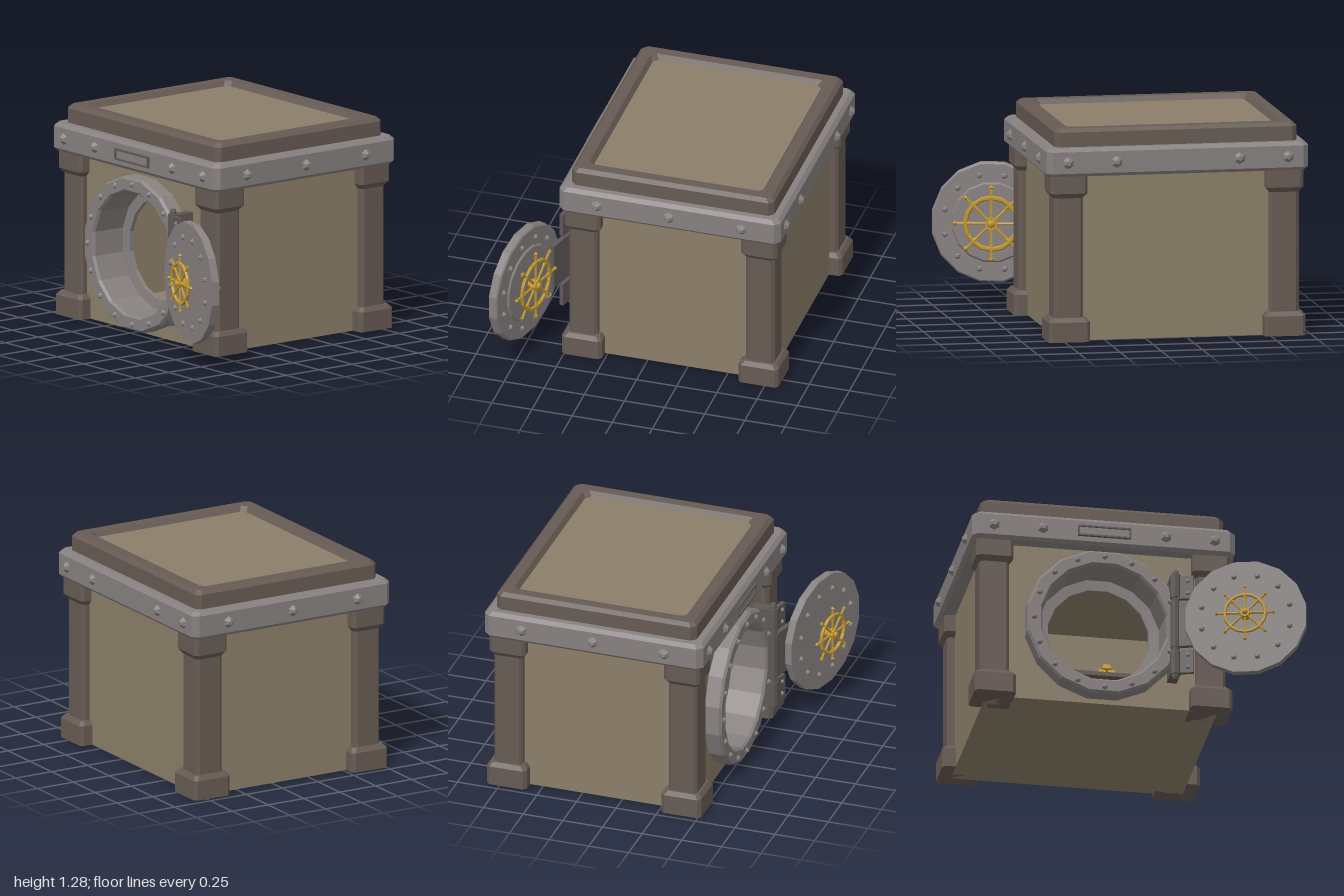
import * as THREE from 'three';

const mat = (name, color) => {
  const m = new THREE.MeshStandardMaterial({ color });
  m.name = name;
  return m;
};

export function createModel() {
  const stone = mat('tan stone', 0x8b7f69);
  const brown = mat('brown trim', 0x675b54);
  const steel = mat('grey steel', 0x878180);
  const iron = mat('dark iron', 0x5f5957);
  const gold = mat('gold', 0xc0962f);
  const CX = -0.182, CZ = -0.158, CY = 0.495;

  const model = new THREE.Group();
  model.name = 'vault';

  // Faceted mesh helper
  const add = (parent, name, geo, material, x = 0, y = 0, z = 0) => {
    const g = geo.index ? geo.toNonIndexed() : geo;
    g.computeVertexNormals();
    const m = new THREE.Mesh(g, material);
    m.name = name;
    m.position.set(x, y, z);
    parent.add(m);
    return m;
  };
  const group = (parent, name, x = 0, y = 0, z = 0) => {
    const g = new THREE.Group();
    g.name = name;
    g.position.set(x, y, z);
    parent.add(g);
    return g;
  };
  const box = (w, h, d) => new THREE.BoxGeometry(w, h, d);

  // Stack of corner-cut rectangles: [y, half width, half depth, corner cut]
  const loft = (sections, capTop = true) => {
    const pos = [], idx = [], n = sections.length;
    for (const [y, a, b, c] of sections) {
      const ring = [[a, b - c], [a, c - b], [a - c, -b], [c - a, -b], [-a, c - b], [-a, b - c], [c - a, b], [a - c, b]];
      for (const [x, z] of ring) pos.push(x, y, z);
    }
    for (let s = 0; s < n - 1; s++) for (let i = 0; i < 8; i++) {
      const p = s * 8 + i, q = s * 8 + (i + 1) % 8;
      idx.push(p, q, q + 8, p, q + 8, p + 8);
    }
    for (let i = 1; i < 7; i++) {
      idx.push(0, i + 1, i);
      const t = (n - 1) * 8;
      if (capTop) idx.push(t, t + i, t + i + 1);
    }
    const g = new THREE.BufferGeometry();
    g.setAttribute('position', new THREE.Float32BufferAttribute(pos, 3));
    g.setIndex(idx);
    return g;
  };

  // Sixteen-sided turning around the z axis, profile as [radius, z]
  const turn = (profile) => new THREE.LatheGeometry(
    profile.map(([r, z]) => new THREE.Vector2(r, z)), 16, Math.PI / 16).rotateX(Math.PI / 2);

  // Rivet pointing along +z, base at z = 0
  const rivet = (r, h) => new THREE.CylinderGeometry(r * 0.4, r, h, 6).rotateX(Math.PI / 2).translate(0, 0, h / 2);

  // Stone shell
  const shell = group(model, 'shell');
  const HX = 0.70, HZ = 0.595, H = 1.03, T = 0.06;
  const front = new THREE.Shape([[-HX, 0], [HX, 0], [HX, H], [-HX, H]].map(([x, y]) => new THREE.Vector2(x, y)));
  const hole = [];
  for (let i = 0; i < 16; i++) {
    const a = -(i + 0.5) * Math.PI / 8;
    hole.push(new THREE.Vector2(0.43 * Math.cos(a), CY + 0.43 * Math.sin(a)));
  }
  front.holes.push(new THREE.Path(hole));
  add(shell, 'frontWall', new THREE.ExtrudeGeometry(front, { depth: 0.12, bevelEnabled: false }), stone, CX, 0, CZ + HZ - 0.12);
  add(shell, 'backWall', box(2 * HX, H, T), stone, CX, H / 2, CZ - HZ + T / 2);
  const inner = 2 * HZ - 0.12 - T, midZ = CZ + (T - 0.12) / 2;
  for (const s of [-1, 1]) add(shell, 'sideWall', box(T, H, inner), stone, CX + s * (HX - T / 2), H / 2, midZ);
  add(shell, 'floor', box(2 * (HX - T), T, inner), stone, CX, T / 2, midZ);
  add(shell, 'ceiling', box(2 * (HX - T), T, inner), stone, CX, H - T / 2, midZ);

  // Corner pillars
  for (const sx of [-1, 1]) for (const sz of [-1, 1]) {
    const p = group(model, 'pillar', CX + sx * 0.655, 0, CZ + sz * 0.55);
    add(p, 'pillarBase', loft([[0, 0.125, 0.125, 0.02], [0.12, 0.125, 0.125, 0.02], [0.145, 0.105, 0.105, 0.02]]), brown);
    add(p, 'pillarShaft', loft([[0.14, 0.09, 0.09, 0.02], [0.9, 0.09, 0.09, 0.02]]), brown);
    add(p, 'pillarCap', loft([[0.865, 0.09, 0.09, 0.02], [0.895, 0.113, 0.113, 0.02], [1.005, 0.113, 0.113, 0.02]]), brown);
  }

  // Riveted steel band
  const band = group(model, 'band', CX, 0, CZ);
  add(band, 'bandRim', loft([[1, 0.775, 0.67, 0.03], [1.02, 0.795, 0.69, 0.035], [1.15, 0.795, 0.69, 0.035], [1.172, 0.773, 0.668, 0.03]]), steel);
  for (const s of [-1, 1]) {
    for (const x of [-0.668, -0.372, 0.372, 0.668]) {
      add(band, 'bandRivet', rivet(0.036, 0.024), steel, x, 1.085, s * 0.69).rotation.y = s > 0 ? 0 : Math.PI;
    }
    for (const z of [-0.45, 0, 0.45]) {
      add(band, 'bandRivet', rivet(0.036, 0.024), steel, s * 0.795, 1.085, z).rotation.y = s * Math.PI / 2;
    }
  }
  for (const s of [-1, 1]) {
    add(band, 'slotRail', box(0.32, 0.01, 0.018), iron, 0, 1.084 + s * 0.029, 0.698);
    add(band, 'slotEnd', box(0.01, 0.068, 0.018), iron, s * 0.155, 1.084, 0.698);
  }
  add(band, 'slotPlate', box(0.3, 0.05, 0.008), steel, 0, 1.084, 0.693);

  // Roof frame with sunken panel
  const roof = group(model, 'roof', CX, 0, CZ - 0.002);
  add(roof, 'roofFrame', loft([[1.165, 0.735, 0.63, 0.03], [1.26, 0.735, 0.63, 0.03], [1.282, 0.713, 0.608, 0.025],
    [1.282, 0.65, 0.545, 0.03], [1.25, 0.628, 0.523, 0.03]], false), brown);
  add(roof, 'roofPanel', loft([[1.245, 0.635, 0.53, 0.03], [1.252, 0.635, 0.53, 0.03]]), stone);

  // Round doorway
  const doorway = group(model, 'doorway', CX, CY, 0);
  add(doorway, 'doorwayRing', turn([[0.435, 0.3], [0.435, 0.43], [0.474, 0.43], [0.474, 0.525], [0.46, 0.54],
    [0.393, 0.54], [0.38, 0.525], [0.375, 0.32], [0.31, 0.315], [0.31, 0.29], [0.435, 0.29], [0.435, 0.3]]), steel);
  for (let i = 0; i < 16; i++) {
    const a = i * Math.PI / 8;
    add(doorway, 'doorwayRivet', rivet(0.019, 0.016), steel, 0.427 * Math.cos(a), 0.427 * Math.sin(a), 0.54);
  }

  // Shelves with stacked gold bars
  const shelving = group(model, 'shelving', CX, 0, -0.46);
  const bar = new THREE.CylinderGeometry(0.7, 1, 1, 4).rotateY(Math.PI / 4).scale(0.0386, 0.036, 0.09);
  for (const y of [0.285, 0.55]) {
    add(shelving, 'shelf', box(0.86, 0.026, 0.32), brown, 0, y, 0);
    for (const s of [-1, 1]) {
      const stack = group(shelving, 'goldStack', s * 0.17, y + 0.031, 0.07);
      for (const [bx, by] of [[-0.028, 0], [0.028, 0], [0, 0.036]]) add(stack, 'goldBar', bar.clone(), gold, bx, by, 0);
    }
  }
  for (const sx of [-1, 1]) for (const sz of [-1, 1]) {
    add(shelving, 'shelfPost', box(0.045, 0.5, 0.045), brown, sx * 0.41, 0.31, sz * 0.135);
  }

  // Open door
  const door = group(model, 'door', 0.64, CY, 0.73);
  door.rotation.y = -Math.PI / 12;
  add(door, 'doorDisc', turn([[0, -0.036], [0.235, -0.036], [0.245, -0.026], [0.357, -0.026], [0.367, -0.018],
    [0.367, 0.028], [0, 0.028]]), steel);
  for (let i = 0; i < 12; i++) {
    const a = (i + 0.5) * Math.PI / 6, x = 0.272 * Math.cos(a), y = 0.272 * Math.sin(a);
    add(door, 'doorRivet', rivet(0.019, 0.016), steel, x, y, 0.028);
    add(door, 'doorRivet', rivet(0.019, 0.016), steel, x * 1.07, y * 1.07, -0.026).rotation.y = Math.PI;
  }

  // Spoked handwheels on both faces
  const handwheel = (z, scale) => {
    const w = group(door, 'handwheel', 0, 0, z);
    w.scale.set(scale, scale, 1);
    add(w, 'wheelRim', new THREE.TorusGeometry(0.122, 0.011, 6, 16), gold);
    add(w, 'wheelHub', new THREE.CylinderGeometry(0.03, 0.03, 0.036, 8).rotateX(Math.PI / 2), gold);
    for (const s of [-1, 1]) add(w, 'hubCap', new THREE.SphereGeometry(0.018, 8, 6), gold, 0, 0, s * 0.018);
    for (let i = 0; i < 8; i++) {
      const spoke = group(w, 'spoke');
      spoke.rotation.z = i * Math.PI / 4;
      add(spoke, 'spokeRod', new THREE.CylinderGeometry(0.007, 0.007, 0.16, 6), gold, 0, 0.09, 0);
      add(spoke, 'spokeCollar', new THREE.CylinderGeometry(0.011, 0.008, 0.02, 6), gold, 0, 0.105, 0);
      add(spoke, 'spokeGrip', new THREE.OctahedronGeometry(0.014), gold, 0, 0.169, 0);
    }
  };
  handwheel(0.08, 1);
  handwheel(-0.078, 1.28);
  add(door, 'wheelAxle', new THREE.CylinderGeometry(0.026, 0.026, 0.16, 8).rotateX(Math.PI / 2), gold);

  // Hinge
  const hinge = group(model, 'hinge', 0.242, CY, 0.562);
  hinge.rotation.y = -Math.PI / 12;
  add(hinge, 'hingePin', new THREE.CylinderGeometry(0.022, 0.022, 0.68, 8), iron);
  add(hinge, 'middleKnuckle', new THREE.CylinderGeometry(0.03, 0.03, 0.3, 8), iron);
  add(hinge, 'doorArm', box(0.19, 0.29, 0.03), iron, 0.115, 0, 0.004);
  for (const s of [-1, 1]) {
    add(hinge, 'knuckle', new THREE.CylinderGeometry(0.033, 0.033, 0.15, 8), iron, 0, s * 0.25, 0);
    add(hinge, 'pinEnd', new THREE.CylinderGeometry(0.016, 0.022, 0.02, 8), iron, 0, s * 0.346, 0).rotation.x = s > 0 ? 0 : Math.PI;
    add(hinge, 'hingeLeaf', box(0.1, 0.15, 0.026), iron, 0.06, s * 0.243, 0);
    for (const dy of [-0.04, 0.04]) add(hinge, 'leafRivet', rivet(0.015, 0.012), steel, 0.075, s * 0.243 + dy, 0.013);
    add(model, 'hingeBracket', box(0.06, 0.16, 0.12), iron, 0.242, CY + s * 0.243, 0.49);
  }
  return model;
}
